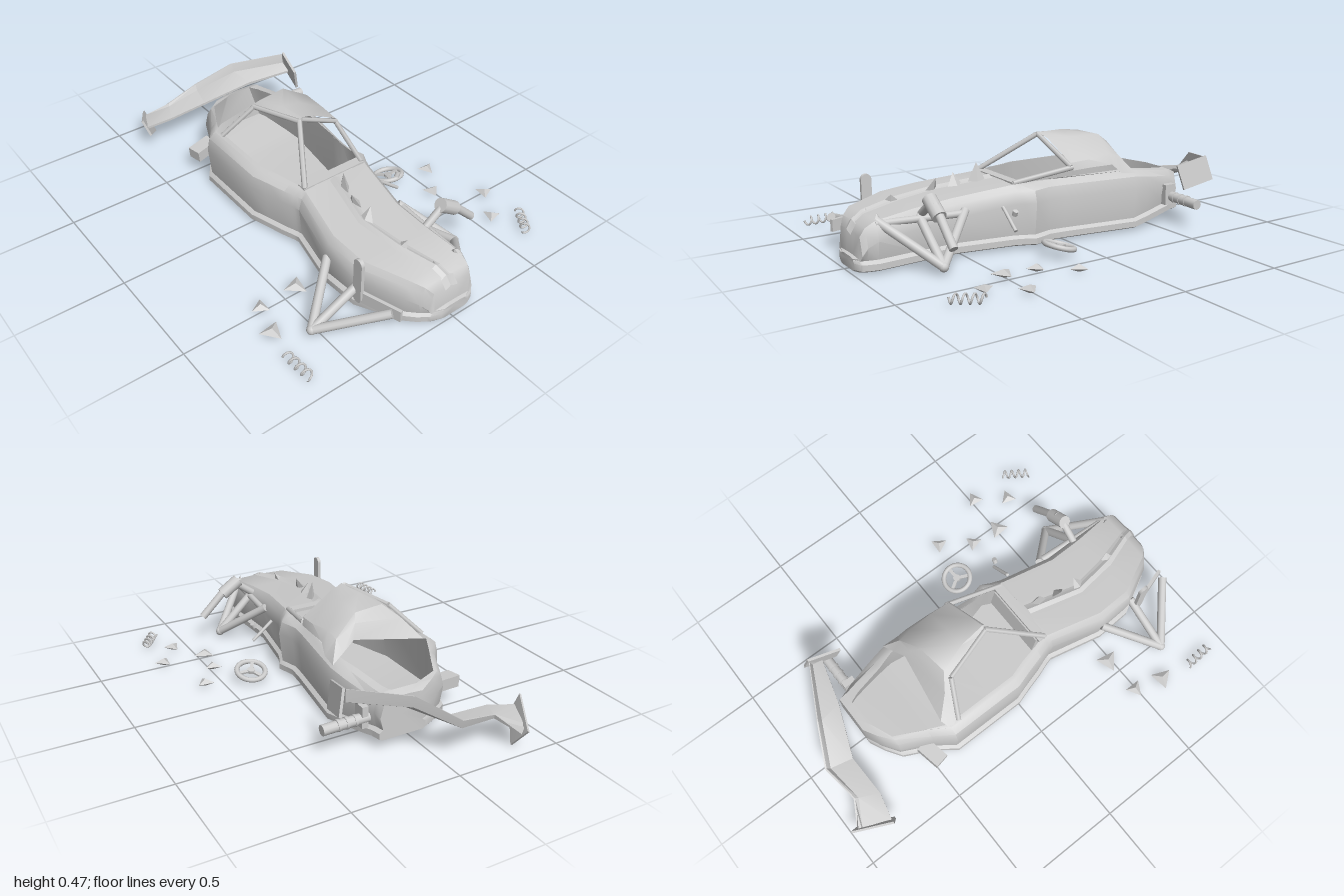
import * as THREE from 'three';
import { toCreasedNormals } from 'three/addons/utils/BufferGeometryUtils.js';

const grey = new THREE.MeshStandardMaterial({ color: 0xcccccc });
const thin = new THREE.MeshStandardMaterial({ color: 0xcccccc, side: THREE.DoubleSide });
const facet = new THREE.MeshStandardMaterial({ color: 0xcccccc, flatShading: true });
const V = (p) => new THREE.Vector3(...p);

// Skin a list of equally long cross-sections; closed ones wrap and get end caps.
function loft(rows, closed, crease = 0.6) {
  const n = rows[0].length, pts = rows.flat(2), idx = [];
  for (let i = 0; i < rows.length - 1; i++) {
    for (let j = 0; j < (closed ? n : n - 1); j++) {
      const k = (j + 1) % n;
      const a = i * n + j, b = i * n + k, c = b + n, d = a + n;
      idx.push(a, b, c, a, c, d);
    }
  }
  if (closed) {
    for (const end of [0, rows.length - 1]) {
      const centre = pts.length / 3;
      for (let m = 0; m < 3; m++) pts.push(rows[end].reduce((s, p) => s + p[m], 0) / n);
      for (let j = 0; j < n; j++) {
        const a = end * n + j, b = end * n + (j + 1) % n;
        idx.push(centre, ...(end ? [a, b] : [b, a]));
      }
    }
  }
  const g = new THREE.BufferGeometry();
  g.setAttribute('position', new THREE.Float32BufferAttribute(pts, 3));
  g.setIndex(idx);
  return toCreasedNormals(g, crease);
}

export function createModel() {
  const root = new THREE.Group();
  const add = (name, geo, mat = grey, parent = root) => {
    const m = new THREE.Mesh(geo, mat);
    m.name = name;
    parent.add(m);
    return m;
  };
  // Round bar between two points
  const bar = (name, a, b, r, sides = 12) => {
    const p = V(a), q = V(b);
    const m = add(name, new THREE.CylinderGeometry(r, r, p.distanceTo(q), sides));
    m.position.copy(p).lerp(q, 0.5);
    m.quaternion.setFromUnitVectors(new THREE.Vector3(0, 1, 0), q.sub(p).normalize());
  };
  const box = (name, size, pos, rot = [0, 0, 0]) => {
    const m = add(name, new THREE.BoxGeometry(...size));
    m.position.set(...pos);
    m.rotation.set(...rot);
  };

  // Bent hull: z, right edge, left edge, deck height, well rims, well open
  const stations = [
    [0.99, -0.06, 0.09, 0.072], [0.975, -0.11, 0.125, 0.075], [0.968, -0.12, 0.132, 0.17], [0.945, -0.155, 0.14, 0.205],
    [0.9, -0.2, 0.15, 0.23],
    [0.71, -0.3, 0.137, 0.25], [0.53, -0.31, 0.13, 0.265], [0.26, -0.25, 0.175, 0.295],
    [0.235, -0.257, 0.185, 0.3, -0.2, 0.125, 0], [0.22, -0.262, 0.19, 0.3, -0.2, 0.125, 1],
    [0.17, -0.28, 0.215, 0.3, -0.215, 0.14, 1], [0.08, -0.305, 0.19, 0.3, -0.235, 0.14, 1],
    [0, -0.33, 0.197, 0.3, -0.26, 0.15, 1], [-0.37, -0.33, 0.25, 0.3, -0.26, 0.175, 1],
    [-0.46, -0.265, 0.235, 0.285, -0.215, 0.15, 1], [-0.6, -0.2, 0.205, 0.265, -0.14, 0.125, 1],
    [-0.64, -0.14, 0.19, 0.26, -0.04, 0.11, 1], [-0.65, -0.125, 0.188, 0.26, -0.03, 0.105, 0],
    [-0.685, -0.05, 0.18, 0.24],
  ];
  const section = ([z, xl, xr, top, rl, rr, open]) => {
    const y0 = 0.02 + 0.035 * Math.min(1, Math.max(0, (-0.37 - z) / 0.25));
    const mid = (xl + xr) / 2, w = (xr - xl) / 0.5;
    if (rl === undefined) { rl = mid - 0.03; rr = mid + 0.03; top += 0.004; }
    const lip = y0 + 0.048;
    const half = [[0.015, y0], [0, y0 + 0.008], [0, y0 + 0.035], [0.018, lip],
      [0.003, Math.max(lip, top - 0.085)], [0.018, Math.max(lip, top - 0.03)], [0.05 * Math.min(1, w), top - 0.004]];
    // The well widens below the rim towards the outer walls
    const floor = open ? [[xl + 0.035, y0 + 0.025, z], [xr - 0.035, y0 + 0.025, z]] : [[rl + 0.01, top, z], [rr - 0.01, top, z]];
    return [
      ...half.map(([d, y]) => [xl + d, y, z]),
      [rl, top, z], ...floor, [rr, top, z],
      ...half.reverse().map(([d, y]) => [xr - d, y, z]),
    ];
  };
  add('hull', loft(stations.map(section), true));

  // Buckled ridge along the bonnet
  const ridge = [[0.976, -0.003, 0.165], [0.95, -0.008, 0.205], [0.9, -0.022, 0.233], [0.74, -0.075, 0.252],
    [0.53, -0.105, 0.268], [0.26, -0.045, 0.299]];
  add('bonnetRidge', loft(ridge.map(([z, x, y]) =>
    [[x - 0.034, y - 0.003, z], [x - 0.008, y + 0.012, z], [x + 0.008, y + 0.004, z], [x + 0.034, y - 0.003, z]]), false, 0.2), thin);

  // Crushed roof shell, open behind as a rear window
  add('roof', loft([
    [[-0.06, 0.465, 0], [-0.035, 0.482, 0], [0.03, 0.46, -0.01], [0.185, 0.37, -0.03], [0.195, 0.335, -0.04]],
    [[-0.1, 0.46, -0.13], [-0.05, 0.48, -0.13], [0.05, 0.46, -0.13], [0.19, 0.375, -0.13], [0.205, 0.34, -0.13]],
    [[-0.13, 0.44, -0.24], [-0.09, 0.46, -0.26], [0.06, 0.458, -0.28], [0.18, 0.39, -0.25], [0.21, 0.34, -0.25]],
    [[-0.25, 0.31, -0.31], [-0.16, 0.4, -0.31], [0.08, 0.425, -0.315], [0.175, 0.37, -0.315], [0.222, 0.295, -0.3]],
    [[-0.29, 0.29, -0.37], [-0.23, 0.312, -0.39], [0.1, 0.36, -0.34], [0.165, 0.32, -0.36], [0.228, 0.285, -0.38]],
  ], false), thin);

  // Windscreen frame
  bar('roofFrontRail', [-0.04, 0.472, 0], [0.19, 0.352, -0.03], 0.012, 6);
  bar('rightPillar', [-0.05, 0.47, 0], [-0.2, 0.3, 0.24], 0.013, 6);
  bar('leftPillar', [0.19, 0.35, -0.04], [0.125, 0.3, 0.24], 0.012, 6);
  bar('rightRoofRail', [-0.055, 0.468, 0], [-0.13, 0.445, -0.25], 0.012, 6);
  bar('rightRearPillar', [-0.13, 0.445, -0.25], [-0.27, 0.3, -0.32], 0.013, 6);
  box('windscreenSill', [0.34, 0.025, 0.045], [-0.038, 0.292, 0.225]);
  box('dashboard', [0.31, 0.1, 0.03], [-0.038, 0.24, 0.2], [0.2, 0, 0]);

  // Twisted rear wing: shallow blade ending in an upturned rear lip
  const lead = [[-0.42, 0.12, -0.82], [-0.29, 0.14, -0.79], [-0.085, 0.15, -0.795], [0.14, 0.24, -0.7], [0.35, 0.265, -0.64]];
  const trail = [[-0.345, 0.075, -0.97], [-0.24, 0.17, -0.9], [-0.06, 0.205, -0.925], [0.11, 0.315, -0.83], [0.35, 0.35, -0.7]];
  add('rearWing', loft(lead.map((a, i) => {
    const b = trail[i];
    const at = (f, h, up = 0) => [a[0] + (b[0] - a[0]) * f, a[1] + (b[1] - a[1]) * h + up, a[2] + (b[2] - a[2]) * f];
    return [at(0, 0), at(0, 0, 0.012), at(0.82, 0.3, 0.012), at(0.94, 1), at(1, 1), at(0.94, 0.3)];
  }), true, 0.3), thin);
  box('leftWingEndPlate', [0.012, 0.12, 0.16], [0.358, 0.28, -0.635], [0.25, -0.2, 0.25]);
  add('rightWingEndPlate', loft([
    [[-0.445, 0.175, -0.82], [-0.435, 0.18, -0.82], [-0.405, 0.09, -0.8], [-0.415, 0.085, -0.8]],
    [[-0.35, 0.105, -0.995], [-0.34, 0.11, -0.995], [-0.32, 0.015, -0.92], [-0.33, 0.01, -0.92]],
  ], true), thin);

  // Broken front suspension arms
  const arm = (side, apex, rear, front, middle) => {
    for (const end of [rear, front, middle]) bar(side + 'WishboneTube', end, apex, 0.02);
    const ball = add(side + 'WishboneJoint', new THREE.SphereGeometry(0.022, 12, 8));
    ball.position.set(...apex);
  };
  arm('right', [-0.535, 0.045, 0.73], [-0.3, 0.165, 0.53], [-0.29, 0.155, 0.935], [-0.28, 0.165, 0.73]);
  arm('left', [0.305, 0.045, 0.69], [0.13, 0.215, 0.49], [0.1, 0.225, 0.89], [0.11, 0.22, 0.7]);
  bar('leftMountRail', [0.14, 0.205, 0.49], [0.11, 0.215, 0.9], 0.016);
  box('rightMountRail', [0.016, 0.055, 0.19], [-0.28, 0.128, 0.86], [0, 0.3, 0]);

  // Upright blade with rounded ends
  const s = new THREE.Shape();
  s.absarc(0, 0.3, 0.025, 0, Math.PI);
  s.absarc(0, 0.12, 0.025, Math.PI, Math.PI * 2);
  const blade = add('rightUpright', new THREE.ExtrudeGeometry(s, { depth: 0.016, bevelEnabled: false }));
  blade.rotation.y = Math.PI / 2;
  blade.position.set(-0.323, 0, 0.755);

  // Loose stub axles and struts
  bar('leftFrontAxle', [0.24, 0.295, 0.69], [0.395, 0.145, 0.69], 0.019);
  bar('leftFrontHub', [0.19, 0.31, 0.69], [0.28, 0.25, 0.69], 0.032);
  bar('leftFrontStrut', [0.11, 0.225, 0.69], [0.21, 0.3, 0.69], 0.018);
  bar('leftSideLink', [0.175, 0.215, 0.325], [0.28, 0.13, 0.325], 0.008);
  bar('leftSideLinkEnd', [0.27, 0.2, 0.325], [0.28, 0.22, 0.325], 0.012);
  bar('leftRearAxle', [0.19, 0.14, -0.61], [0.41, 0.135, -0.61], 0.024);
  for (let i = 0; i < 3; i++) {
    bar('leftRearAxleRing', [0.25 + i * 0.04, 0.138, -0.61], [0.262 + i * 0.04, 0.138, -0.61], 0.027);
  }
  box('leftRearHub', [0.03, 0.1, 0.06], [0.215, 0.15, -0.6]);
  box('rightRearHub', [0.12, 0.055, 0.07], [-0.285, 0.13, -0.49], [0, 0.2, 0.1]);

  // Steering wheel lying on the ground
  const wheel = new THREE.Group();
  wheel.name = 'steeringWheel';
  add('rim', new THREE.TorusGeometry(0.068, 0.012, 10, 28), grey, wheel);
  add('hub', new THREE.CylinderGeometry(0.018, 0.018, 0.016, 12).rotateX(Math.PI / 2), grey, wheel);
  for (let i = 0; i < 3; i++) {
    const spoke = add('spoke', new THREE.BoxGeometry(0.016, 0.066, 0.01).translate(0, 0.034, 0), grey, wheel);
    spoke.rotation.z = Math.PI / 6 + i * Math.PI * 2 / 3;
  }
  wheel.position.set(0.37, 0.06, 0.16);
  wheel.rotation.x = -Math.PI / 2 - 0.28;
  root.add(wheel);

  // Coil springs thrown to either side
  const spring = (name, a, b) => {
    const p = V(a), q = V(b), pts = [];
    const across = new THREE.Vector3().subVectors(q, p).cross(new THREE.Vector3(0, 1, 0)).normalize();
    for (let i = 0; i <= 48; i++) {
      const t = i / 12 * Math.PI * 2;
      pts.push(p.clone().lerp(q, i / 48).addScaledVector(across, 0.019 * Math.cos(t)).add(V([0, 0.019 * Math.sin(t), 0])));
    }
    add(name, new THREE.TubeGeometry(new THREE.CatmullRomCurve3(pts), 96, 0.005, 6));
  };
  spring('rightSpring', [-0.69, 0.04, 0.77], [-0.68, 0.04, 0.92]);
  spring('leftSpring', [0.7, 0.04, 0.72], [0.62, 0.04, 0.84]);

  // Flat shards on the ground: x, z, size
  [[-0.62, 0.49, 0.045], [-0.43, 0.48, 0.058], [-0.66, 0.63, 0.056], [0.585, 0.21, 0.045], [0.485, 0.355, 0.045],
    [0.47, 0.505, 0.056], [0.68, 0.515, 0.045], [0.58, 0.66, 0.045]].forEach(([x, z, r], i) => {
    const m = add('groundShard', new THREE.SphereGeometry(1, 3, 2), facet);
    m.scale.set(r, 0.018, r);
    m.position.set(x, 0.03, z);
    m.rotation.y = i * 1.9;
  });

  // Splinters standing along the split bonnet: x, base y, z, height, lean
  [[-0.045, 0.28, 0.33, 0.095, 0.1], [-0.06, 0.265, 0.43, 0.075, 0.4], [-0.105, 0.25, 0.54, 0.085, -0.5],
    [-0.075, 0.24, 0.745, 0.05, -0.5], [-0.015, 0.21, 0.885, 0.045, 0.3], [0.1, 0.21, 0.88, 0.045, 0.2]].forEach(([x, y, z, h, lean], i) => {
    const m = add('bonnetSplinter', new THREE.ConeGeometry(i < 4 ? 0.045 : 0.03, h, 4).translate(0, h / 2, 0), facet);
    m.scale.x = 0.5;
    m.position.set(x, y, z);
    m.rotation.set(0, (i % 3 - 1) * 0.3, lean);
  });
  return root;
}
